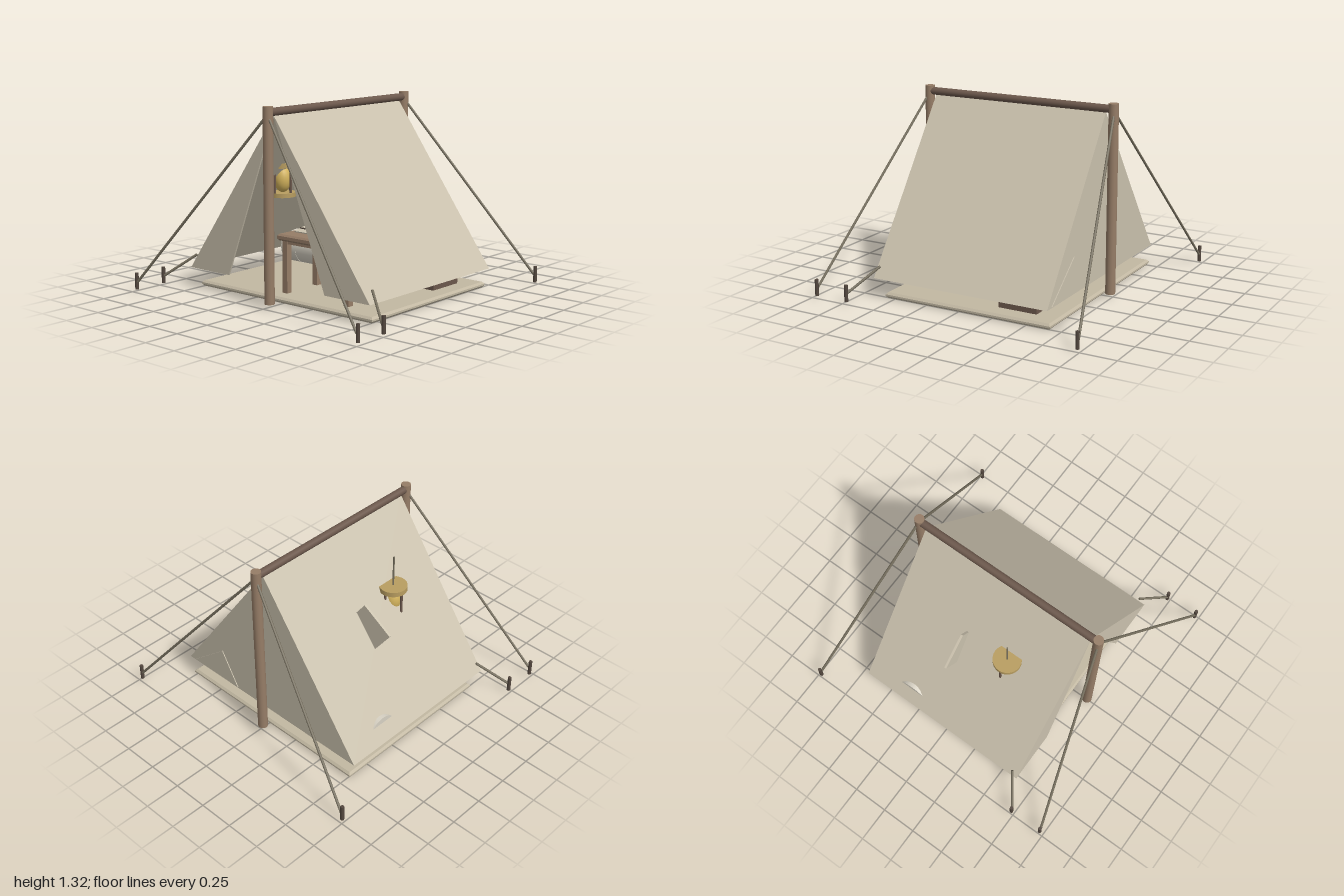
import * as THREE from 'three';

const mat = (name, color, side = THREE.FrontSide) => {
  const m = new THREE.MeshStandardMaterial({ color, side });
  m.name = name;
  return m;
};

export function createModel() {
  const root = new THREE.Group();
  root.name = 'tent';
  const canvas = mat('canvas', 0xcbc2ae, THREE.DoubleSide);
  const floorCloth = mat('floor cloth', 0xc2b8a2);
  const wood = mat('wood', 0x967d67);
  const darkWood = mat('dark wood', 0x6c584c);
  const rope = mat('rope', 0x77705f);
  const stakeWood = mat('stake wood', 0x54483f);
  const blanket = mat('blanket', 0xd8d2c4);
  const brass = mat('brass', 0xb89d60);
  const glass = mat('lamp glass', 0xd2b25c);

  const add = (name, geo, m, x = 0, y = 0, z = 0, parent = root) => {
    const mesh = new THREE.Mesh(geo, m);
    mesh.name = name;
    mesh.position.set(x, y, z);
    parent.add(mesh);
    return mesh;
  };
  const box = (name, m, w, h, d, x, y, z, parent) =>
    add(name, new THREE.BoxGeometry(w, h, d), m, x, y, z, parent);
  // Round bar between two points
  const bar = (name, m, a, b, r, sides = 8) => {
    const p = new THREE.Vector3(...a), q = new THREE.Vector3(...b);
    const dir = q.clone().sub(p);
    const mesh = add(name, new THREE.CylinderGeometry(r, r, dir.length(), sides), m);
    mesh.position.copy(p).add(q).multiplyScalar(0.5);
    mesh.quaternion.setFromUnitVectors(new THREE.Vector3(0, 1, 0), dir.normalize());
    return mesh;
  };
  // Flat panel cut from corner points in the xy plane
  const panel = (name, m, pts, z, thick) => {
    const shape = new THREE.Shape(pts.map(p => new THREE.Vector2(...p)));
    return add(name, new THREE.ExtrudeGeometry(shape, { depth: thick, bevelEnabled: false }), m, 0, 0, z);
  };
  // Flat slab with chamfered rim
  const slab = (name, m, w, h, d, x, y, z, c) => {
    const a = w / 2 - c, b = d / 2 - c;
    const shape = new THREE.Shape([[-a, -b], [a, -b], [a, b], [-a, b]].map(p => new THREE.Vector2(...p)));
    const geo = new THREE.ExtrudeGeometry(shape, {
      depth: h - 2 * c, bevelThickness: c, bevelSize: c, bevelSegments: 1,
    });
    geo.translate(0, 0, c - h / 2).rotateX(-Math.PI / 2);
    return add(name, geo, m, x, y, z);
  };

  // Ground sheet
  slab('groundSheet', floorCloth, 1.53, 0.04, 1.245, 0, 0.02, -0.055, 0.014);

  // Poles and ridge
  bar('frontPole', wood, [0, 0.022, 0.686], [0, 1.318, 0.686], 0.034, 16);
  bar('backPole', wood, [0, 0.022, -0.73], [0, 1.318, -0.73], 0.034, 16);
  bar('ridgePole', darkWood, [0, 1.28, -0.73], [0, 1.28, 0.686], 0.027, 16);

  // Canvas walls, flaps and back
  const apex = 1.257, hem = 0.14, half = 0.8;
  for (const s of [-1, 1]) {
    const side = s < 0 ? 'right' : 'left';
    const t = 0.014;
    panel(side + 'Roof', canvas,
      [[0, apex], [s * half, hem], [s * (half - t), hem], [0, apex - t * 1.4]], -0.675, 1.305);
    panel(side + 'Flap', canvas,
      [[0, apex], [s * half, hem], [s * 0.43, hem]], 0.622, 0.012);

    // Guy lines and stakes
    for (const [z, from] of [
      [0.97, [0, 1.265, 0.69]], [-0.98, [0, 1.265, -0.735]], [0.728, [s * 0.785, 0.225, 0.59]],
    ]) {
      bar(side + 'GuyLine', rope, from, [s * 0.975, 0.07, z], 0.009);
      bar(side + 'Stake', stakeWood, [s * 0.985, 0.015, z], [s * 0.985, 0.13, z], 0.013);
    }
  }
  panel('backWall', canvas, [[0, apex], [-half, hem], [half, hem]], -0.675, 0.01);
  panel('backPatch', canvas, [[0.44, 0.395], [0.3, 0.15], [0.74, 0.15]], -0.681, 0.006);

  // Bedroll with two bands
  const roll = new THREE.Group();
  roll.name = 'bedroll';
  roll.position.set(-0.49, 0.16, -0.325);
  roll.rotation.z = Math.PI / 2;
  root.add(roll);
  add('rolledBlanket', new THREE.CylinderGeometry(0.12, 0.12, 0.48, 24), blanket, 0, 0, 0, roll);
  for (const y of [-0.11, 0.11])
    add('band', new THREE.CylinderGeometry(0.122, 0.122, 0.02, 24), blanket, 0, y, 0, roll);

  // Camp table
  slab('tableTop', wood, 0.62, 0.045, 0.4, 0.197, 0.423, 0.29, 0.012);
  box('tableApron', wood, 0.56, 0.03, 0.33, 0.197, 0.392, 0.29);
  for (const x of [-0.072, 0.465]) for (const z of [0.14, 0.44])
    box('tableLeg', wood, 0.042, 0.37, 0.042, x, 0.215, z);

  // Map, compass and pencil on the table
  const map = box('map', canvas, 0.3, 0.008, 0.22, 0.1, 0.475, 0.28);
  map.rotation.x = 0.2;
  add('compass', new THREE.CylinderGeometry(0.045, 0.045, 0.014, 16), brass, 0.085, 0.483, 0.3);
  bar('pencil', stakeWood, [-0.04, 0.472, 0.34], [0.03, 0.472, 0.34], 0.005);

  // Storage trunk
  box('trunkBody', darkWood, 0.39, 0.25, 0.28, 0.45, 0.165, -0.378);
  slab('trunkLid', wood, 0.42, 0.045, 0.31, 0.45, 0.31, -0.378, 0.012);

  // Hanging lantern
  const lamp = new THREE.Group();
  lamp.name = 'lantern';
  lamp.position.set(-0.322, 0, 0.21);
  root.add(lamp);
  add('lanternCord', new THREE.CylinderGeometry(0.006, 0.006, 0.23, 8), rope, 0, 0.99, 0, lamp);
  add('lanternCap', new THREE.CylinderGeometry(0.098, 0.098, 0.035, 24), brass, 0, 0.862, 0, lamp);
  add('lanternBase', new THREE.CylinderGeometry(0.093, 0.093, 0.03, 24), brass, 0, 0.655, 0, lamp);
  const bulb = add('lanternGlass', new THREE.SphereGeometry(0.06, 20, 14), glass, 0, 0.758, 0, lamp);
  bulb.scale.y = 1.5;
  for (let i = 0; i < 4; i++) {
    const a = i * Math.PI / 2;
    add('lanternPost', new THREE.CylinderGeometry(0.009, 0.009, 0.19, 8), darkWood,
      0.078 * Math.cos(a), 0.757, 0.078 * Math.sin(a), lamp);
  }

  // Tilted board pushed through the right roof
  const board = box('tiltedBoard', canvas, 0.264, 0.24, 0.016, -0.41, 0.744, -0.12);
  board.rotation.set(0, 0.06, 0.627);

  return root;
}
